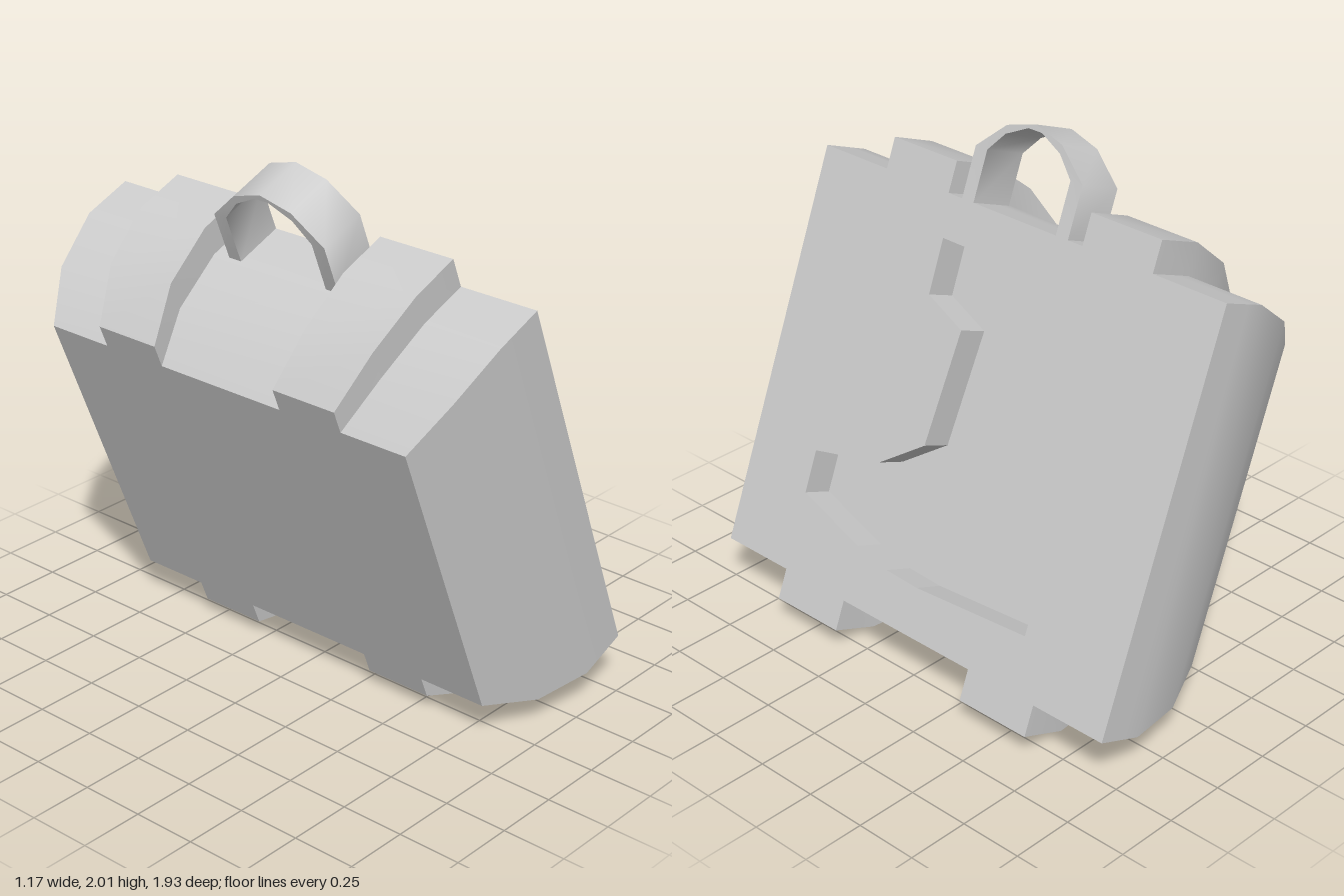
import * as THREE from 'three';
import { toCreasedNormals } from 'three/addons/utils/BufferGeometryUtils.js';

const MID = 0.779; // half-way up the case, in its own untilted frame
const TILT = 0.3747;
const CREASE = 0.7;
const HALF_HEIGHT = 0.794;
const HALF_WIDTH = 0.967;

// Rings across the depth: [x, body half height, body half width, strap half height, strap outer z, strap inner z]
const RINGS = [
  [-0.043, 0.617, 0.835, 0.708, 0.555, 0.28],
  [0.143, 0.726, 0.925, 0.841, 0.615, 0.315],
  [0.373, HALF_HEIGHT, HALF_WIDTH, 0.915, 0.645, 0.325],
];
const BACK = 0.578;
const RECESS = 0.128;

// Solid through rectangular sections [x, y0, y1, z0, z1], x ascending
function loft(sections) {
  const pos = [], index = [];
  for (const [x, y0, y1, z0, z1] of sections) {
    pos.push(x, y0, z0, x, y1, z0, x, y1, z1, x, y0, z1);
  }
  const n = sections.length - 1;
  for (let i = 0; i < n; i++) {
    for (let k = 0; k < 4; k++) {
      const a = i * 4 + k, b = i * 4 + (k + 1) % 4;
      index.push(a, b, b + 4, a, b + 4, a + 4);
    }
  }
  const e = n * 4;
  index.push(0, 2, 1, 0, 3, 2, e, e + 1, e + 2, e, e + 2, e + 3);
  const geo = new THREE.BufferGeometry();
  geo.setAttribute('position', new THREE.Float32BufferAttribute(pos, 3));
  geo.setIndex(index);
  return toCreasedNormals(geo, CREASE);
}

// Outline points are [z, y]
const outline = (pts) => pts.map(([z, y]) => new THREE.Vector2(-z, y));

// Extrude a (z, y) outline along x
function extrudeX(shape, x0, x1) {
  const geo = new THREE.ExtrudeGeometry(shape, { depth: x1 - x0, bevelEnabled: false });
  return geo.rotateY(Math.PI / 2).translate(x0, 0, 0);
}

export function createModel() {
  const root = new THREE.Group();
  root.name = 'tiltedCase';
  const model = new THREE.Group();
  model.name = 'case';
  model.rotation.z = TILT;
  root.add(model);

  const material = new THREE.MeshStandardMaterial({ color: 0xcccccc });
  const add = (name, geo) => {
    const mesh = new THREE.Mesh(geo, material);
    mesh.name = name;
    model.add(mesh);
  };

  // Body with rounded sides; its end cap is the floor of the recess
  const floor = BACK - RECESS;
  const bodyRings = RINGS.map(([x, h, w]) => [x, MID - h, MID + h, -w, w]);
  bodyRings.push([floor, MID - HALF_HEIGHT, MID + HALF_HEIGHT, -HALF_WIDTH, HALF_WIDTH]);
  add('body', loft(bodyRings));

  // Plate with the shaped cut-out; border counter-clockwise, hole clockwise
  const plate = new THREE.Shape(outline([
    [HALF_WIDTH, MID - HALF_HEIGHT], [-HALF_WIDTH, MID - HALF_HEIGHT],
    [-HALF_WIDTH, MID + HALF_HEIGHT], [HALF_WIDTH, MID + HALF_HEIGHT],
  ]));
  plate.holes.push(new THREE.Path(outline([
    [0.297, 1.412], [-0.31, 1.412], [-0.305, 1.142], [-0.21, 1.052], [-0.345, 0.606],
    [-0.535, 0.536], [-0.53, 0.2], [0, 0.168], [0.16, 0.174], [0.325, 0.205],
    [0.645, 0.297], [0.645, 0.467], [0.325, 0.536], [0.135, 0.671], [0.105, 1.123], [0.295, 1.198],
  ])));
  add('recessedPlate', extrudeX(plate, floor, BACK));

  // Raised strap blocks, two on top and two underneath
  const strapRings = [...RINGS, [BACK, HALF_HEIGHT, HALF_WIDTH, 0.915, 0.645, 0.325]];
  for (const up of [1, -1]) {
    for (const side of [1, -1]) {
      const sections = strapRings.map(([x, h, , s, outer, inner]) => [
        x,
        MID + (up > 0 ? h : -s), MID + (up > 0 ? s : -h),
        side > 0 ? inner : -outer, side > 0 ? outer : -inner,
      ]);
      add(`${up > 0 ? 'top' : 'bottom'}Strap${side > 0 ? 'Front' : 'Rear'}`, loft(sections));
    }
  }

  // Arched carrying handle
  const outer = [[0.257, 1.57], [0.257, 1.771], [0.132, 1.88], [0, 1.917]];
  const inner = [[0.2, 1.57], [0.2, 1.771], [0.13, 1.848], [0.032, 1.895]];
  const mirror = (pts) => pts.map(([z, y]) => [-z, y]);
  const arch = new THREE.Shape(outline([
    ...outer, ...mirror(outer.slice(0, 3)).reverse(), ...mirror(inner), ...[...inner].reverse(),
  ]));
  const handle = extrudeX(arch, 0.38, BACK);
  const p = handle.attributes.position;
  for (let i = 0; i < p.count; i++) { // the crown leans slightly outward
    p.setX(i, p.getX(i) + 0.09 * Math.max(0, p.getY(i) - 1.771));
  }
  add('handle', toCreasedNormals(handle, 0.9));

  return root;
}
